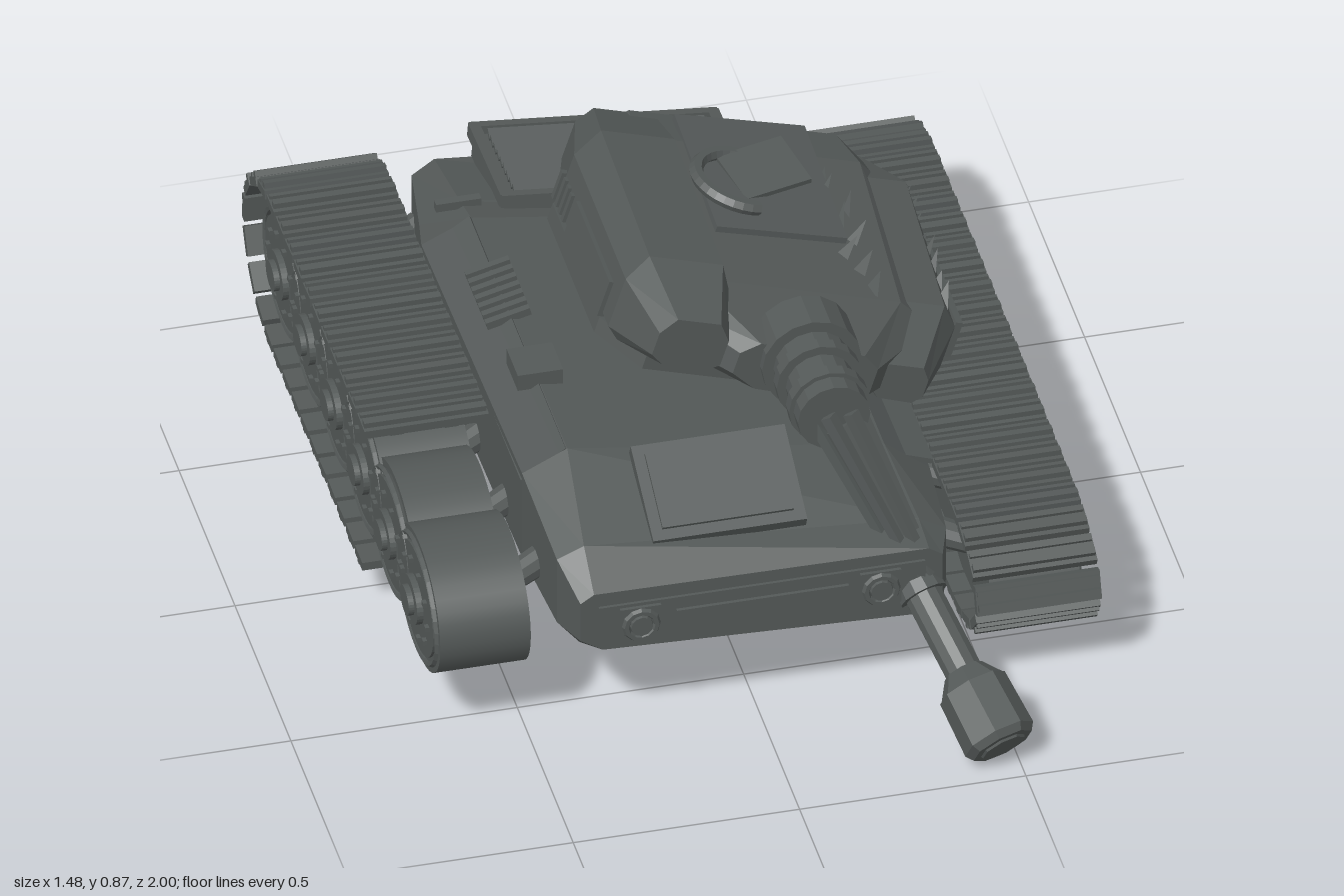
import * as THREE from 'three';
import { mergeGeometries } from 'three/addons/utils/BufferGeometryUtils.js';

const steel = new THREE.MeshStandardMaterial({ color: 0x545958, flatShading: true, side: THREE.DoubleSide });
steel.name = 'burnt steel';
const smoothSteel = new THREE.MeshStandardMaterial({ color: 0x545958 });
smoothSteel.name = 'round steel';

function add(parent, name, geo, pos = [0, 0, 0], rot = [0, 0, 0], mat = steel) {
  const m = new THREE.Mesh(geo, mat);
  m.name = name;
  m.position.set(...pos);
  m.rotation.set(...rot);
  parent.add(m);
  return m;
}
const box = (x, y, z) => new THREE.BoxGeometry(x, y, z);

// Skin over rings of [x, y, z], counter-clockwise from the front, ordered front to back
function loft(rings) {
  const p = [];
  const n = rings[0].length;
  const tri = (...c) => c.forEach(v => p.push(...v));
  for (let i = 0; i + 1 < rings.length; i++) {
    for (let j = 0; j < n; j++) {
      const k = (j + 1) % n, r = rings[i], s = rings[i + 1];
      tri(r[j], s[j], s[k]);
      tri(r[j], s[k], r[k]);
    }
  }
  const first = rings[0], last = rings[rings.length - 1];
  for (let j = 1; j + 1 < n; j++) {
    tri(first[0], first[j], first[j + 1]);
    tri(last[0], last[j + 1], last[j]);
  }
  const g = new THREE.BufferGeometry();
  g.setAttribute('position', new THREE.Float32BufferAttribute(p, 3));
  g.computeVertexNormals();
  return g;
}

// Eight-sided section: bottom, belt and top half widths with their heights; roll lowers the +x side
function section(z, wb, yb, wm, yl, yh, wt, yt, roll = 0, cx = 0) {
  return [[wb, yb], [wm, yl], [wm, yh], [wt, yt], [-wt, yt], [-wm, yh], [-wm, yl], [-wb, yb]]
    .map(([x, y], i) => [x + cx, y - x * (i > 1 && i < 6 ? roll : 0.04), z]);
}

// Cylinder between two points
function rod(parent, name, a, b, r0, r1, sides = 12, open = false) {
  const p = new THREE.Vector3(...a), q = new THREE.Vector3(...b);
  const m = add(parent, name, new THREE.CylinderGeometry(r1, r0, p.distanceTo(q), sides, 1, open), p.clone().lerp(q, 0.5).toArray());
  m.quaternion.setFromUnitVectors(new THREE.Vector3(0, 1, 0), q.sub(p).normalize());
  return m;
}

function buildHull() {
  const hull = new THREE.Group();
  hull.name = 'hull';
  add(hull, 'hullBody', loft([
    section(0.66, 0.35, 0.25, 0.40, 0.28, 0.39, 0.37, 0.41, 0.01),
    section(0.57, 0.38, 0.21, 0.43, 0.27, 0.42, 0.37, 0.45, 0.08),
    section(0.34, 0.39, 0.21, 0.45, 0.28, 0.45, 0.35, 0.515, 0.16),
    section(-0.52, 0.39, 0.21, 0.46, 0.28, 0.44, 0.35, 0.51, 0.16),
    section(-0.62, 0.38, 0.21, 0.44, 0.28, 0.43, 0.35, 0.49, 0.14),
    section(-0.85, 0.36, 0.22, 0.40, 0.28, 0.41, 0.35, 0.45, 0.1),
    section(-0.9, 0.33, 0.25, 0.38, 0.29, 0.39, 0.34, 0.42, 0.06),
  ]));
  // Front and rear bars with lamps
  for (const [z, s] of [[0.66, 1], [-0.9, -1]]) {
    add(hull, 'bumperPlate', box(0.38, 0.06, 0.03), [0, 0.32, z]);
    add(hull, 'bumperFrame', box(0.72, 0.1, 0.014), [0, 0.33, z]);
    for (const x of [-0.27, 0.26]) {
      add(hull, 'lampPlate', box(0.09, 0.085, 0.03), [x, 0.33, z]);
      add(hull, 'lampRing', new THREE.TorusGeometry(0.034, 0.009, 6, 12), [x, 0.33, z + s * 0.018]);
      add(hull, 'lamp', new THREE.CylinderGeometry(0.024, 0.03, 0.03, 12), [x, 0.33, z + s * 0.012], [s * Math.PI / 2, 0, 0]);
    }
  }
  // Sloped driver hatch
  const hatch = new THREE.Group();
  hatch.name = 'driverHatch';
  hatch.position.set(-0.05, 0.515, 0.475);
  hatch.rotation.x = 0.48;
  add(hatch, 'hatchPlate', box(0.34, 0.03, 0.23));
  add(hatch, 'hatchPanel', box(0.29, 0.01, 0.18), [0, 0.018, 0]);
  hull.add(hatch);
  // Engine grille
  const grille = new THREE.Group();
  grille.name = 'engineGrille';
  grille.position.set(0, 0.512, -0.71);
  grille.rotation.set(-0.06, 0, -0.1);
  add(grille, 'grilleBed', box(0.53, 0.06, 0.28), [0, -0.02, 0]);
  for (const s of [-1, 1]) {
    add(grille, 'grilleSide', box(0.025, 0.03, 0.29), [s * 0.265, 0.015, 0]);
    add(grille, 'grilleEnd', box(0.55, 0.03, 0.02), [0, 0.015, s * 0.14]);
  }
  for (let i = 0; i < 9; i++) add(grille, 'grilleSlat', box(0.48, 0.008, 0.026), [0, 0.02, -0.112 + i * 0.028], [0.5, 0, 0]);
  hull.add(grille);
  // Side deck strips and vents
  for (const s of [-1, 1]) {
    const y = s < 0 ? 0.545 : 0.425;
    add(hull, 'deckStrip', box(0.12, 0.012, 0.86), [s * 0.4, y - 0.012, -0.09], [0, 0, s < 0 ? 0.6 : -0.35]);
    for (let i = 0; i < 7; i++) add(hull, 'deckVent', box(0.1, 0.018, 0.016), [s * 0.36, y + 0.025, -0.33 + i * 0.03], [0, 0, s < 0 ? 0.25 : -0.2]);
    add(hull, 'deckHinge', box(0.1, 0.02, 0.02), [s * 0.36, y + 0.005, -0.6]);
  }
  add(hull, 'periscopeBlock', box(0.1, 0.04, 0.1), [-0.35, 0.58, 0.05]);
  return hull;
}

function buildTrack(side, cy, wheelRy, trackRy, cut) {
  const track = new THREE.Group();
  track.name = side > 0 ? 'leftTrack' : 'rightTrack';
  const rz = 0.19, front = 0.46, rear = -0.74;
  for (let i = 0; i < 6; i++) {
    const wheel = new THREE.Group();
    wheel.name = 'roadWheel';
    wheel.position.set(side * 0.607, cy, front - i * 0.24);
    wheel.scale.set(side, wheelRy / rz, 1);
    const disc = (name, r, w, x) => add(wheel, name, new THREE.CylinderGeometry(r, r, w, 32), [x, 0, 0], [0, 0, Math.PI / 2]);
    const tyre = new THREE.CylinderGeometry(rz, rz, 0.2 - (i % 2) * 0.012, 36);
    add(wheel, 'tyre', tyre, [0, 0, 0], [0, 0, Math.PI / 2], smoothSteel);
    disc('wheelDisc', 0.15, 0.012, 0.1);
    disc('hub', 0.065, 0.03, 0.105);
    disc('hubCap', 0.04, 0.045, 0.11);
    add(wheel, 'rim', new THREE.TorusGeometry(0.168, 0.008, 5, 32), [0.1, 0, 0], [0, Math.PI / 2, 0]);
    for (let b = 0; b < 10; b++) {
      const a = b * Math.PI / 5;
      add(wheel, 'bolt', box(0.014, 0.014, 0.014), [0.108, 0.11 * Math.sin(a), 0.11 * Math.cos(a)]);
    }
    track.add(wheel);
    rod(track, 'axleArm', [side * 0.4, cy + 0.035, front - i * 0.24 - 0.05], [side * 0.53, cy, front - i * 0.24], 0.035, 0.03, 10);
  }
  // Links follow a squashed loop; a cut leaves the front wheels bare
  const path = new THREE.Path();
  path.moveTo(rear, cy + trackRy);
  path.lineTo(front, cy + trackRy);
  path.absellipse(front, cy, 0.235, trackRy, Math.PI / 2, -Math.PI / 2, true);
  path.lineTo(rear, cy - trackRy);
  path.absellipse(rear, cy, 0.24, trackRy, -Math.PI / 2, -Math.PI * 1.5, true);
  const link = mergeGeometries([
    box(0.275, 0.02, 0.066),
    box(0.27, 0.018, 0.016).translate(0, 0.014, 0.014),
    box(0.27, 0.012, 0.01).translate(0, 0.012, -0.018),
    box(0.03, 0.022, 0.03).translate(0.06, -0.016, 0),
    box(0.03, 0.022, 0.03).translate(-0.06, -0.016, 0),
  ]);
  const count = 46;
  for (let i = 0; i < count; i++) {
    const p = path.getPointAt(i / count), t = path.getTangentAt(i / count);
    if (p.x > cut) continue;
    const wobble = 0.05 * Math.sin(i * 2.7);
    add(track, 'trackLink', link, [side * 0.602, p.y, p.x], [Math.atan2(-t.y, t.x) + wobble, 0, 0]);
  }
  return track;
}

function buildTurret() {
  const turret = new THREE.Group();
  turret.name = 'turret';
  turret.position.set(0.15, 0.51, 0);
  turret.rotation.z = -0.31;
  add(turret, 'turretBase', loft([[0.14, 0.3], [0.02, 0.38], [-0.4, 0.38], [-0.52, 0.28]].map(
    ([z, w]) => [[w, 0], [w, 0.04], [-w, 0.04], [-w, 0]].map(([x, y]) => [x, y, z]))));
  add(turret, 'turretBody', loft([
    section(0.28, 0.1, 0.07, 0.16, 0.1, 0.16, 0.12, 0.19),
    section(0.1, 0.26, 0.04, 0.33, 0.08, 0.17, 0.24, 0.22),
    section(-0.38, 0.3, 0.04, 0.35, 0.08, 0.19, 0.26, 0.25),
    section(-0.5, 0.26, 0.04, 0.3, 0.08, 0.18, 0.24, 0.235),
    section(-0.55, 0.2, 0.07, 0.25, 0.09, 0.15, 0.2, 0.19),
  ]));
  // Armoured cheeks, the +x one crumpled lower and shorter
  add(turret, 'rightCheek', loft([
    section(0.27, 0.05, 0.1, 0.08, 0.12, 0.18, 0.05, 0.22, 0, -0.27),
    section(0.12, 0.09, 0.05, 0.12, 0.08, 0.21, 0.085, 0.275, 0, -0.28),
    section(-0.34, 0.09, 0.05, 0.125, 0.08, 0.21, 0.085, 0.28, 0, -0.275),
    section(-0.5, 0.07, 0.06, 0.1, 0.09, 0.19, 0.07, 0.23, 0, -0.25),
  ]));
  add(turret, 'leftCheek', loft([
    section(0.24, 0.04, 0.06, 0.06, 0.08, 0.12, 0.04, 0.15, 0, 0.24),
    section(0.08, 0.09, 0.03, 0.11, 0.06, 0.16, 0.07, 0.21, 0, 0.28),
    section(-0.34, 0.09, 0.03, 0.12, 0.06, 0.17, 0.08, 0.24, 0, 0.28),
    section(-0.48, 0.06, 0.05, 0.09, 0.08, 0.15, 0.05, 0.2, 0, 0.25),
  ]));
  for (const s of [-1, 1]) {
    add(turret, 'cheekPlate', box(0.016, 0.09, 0.3), [s * 0.402, 0.12, -0.08]);
    for (let i = 0; i < 4; i++) add(turret, 'cheekVent', box(0.016, 0.07, 0.014), [s * 0.4, 0.12, -0.27 - i * 0.028]);
  }
  add(turret, 'roofPlate', box(0.3, 0.015, 0.4), [0.0, 0.25, -0.27], [0.03, 0, 0.03]);
  add(turret, 'hatchRing', new THREE.TorusGeometry(0.1, 0.016, 6, 18, Math.PI * 1.1), [-0.06, 0.265, -0.23], [Math.PI / 2, 0, 1.4]);
  add(turret, 'bentRoofPlate', box(0.16, 0.012, 0.14), [0.0, 0.275, -0.27], [0.1, 0.3, 0.25]);
  // Torn metal: rows of leaning shards
  let seed = 7;
  const rand = () => (seed = (seed * 16807) % 2147483647) / 2147483647;
  for (let i = 0; i < 16; i++) {
    const outer = i % 2;
    const h = 0.05 + rand() * 0.06;
    const shard = new THREE.ConeGeometry(0.03, h, 3).scale(0.25, 1, 1);
    add(turret, 'tornShard', shard, [outer ? 0.36 : 0.14 + rand() * 0.05, outer ? 0.2 : 0.24, 0.06 - i * 0.026],
      [rand() - 0.5, rand(), outer ? -0.2 : 0.3 - rand() * 0.7]);
  }
  return turret;
}

function buildGun() {
  const gun = new THREE.Group();
  gun.name = 'brokenGun';
  // Stepped mantlet sleeve
  const steps = [[0.2, 0.3, 0.11], [0.3, 0.34, 0.085], [0.34, 0.37, 0.095], [0.37, 0.43, 0.075], [0.43, 0.46, 0.09], [0.46, 0.5, 0.08]];
  for (const [a, b, r] of steps) rod(gun, 'mantletSleeve', [0.2, 0.67, a], [0.2, 0.67, b], r, r, 16);
  // Split barrel strips hanging from the sleeve
  for (let i = 0; i < 6; i++) {
    const a = i * Math.PI / 3, c = Math.cos(a), s = Math.sin(a);
    rod(gun, 'barrelStrip', [0.21 + 0.05 * c, 0.66 + 0.025 * s, 0.48 + 0.03 * s], [0.36 + 0.028 * c, 0.31 + 0.03 * s, 0.64 + 0.02 * s], 0.018, 0.013, 4);
  }
  rod(gun, 'barrelCore', [0.21, 0.64, 0.49], [0.36, 0.32, 0.63], 0.035, 0.025, 8);
  // Drooping barrel end and muzzle brake
  const start = new THREE.Vector3(0.345, 0.31, 0.62), end = new THREE.Vector3(0.46, 0.076, 0.955);
  const at = t => start.clone().lerp(end, t).toArray();
  rod(gun, 'barrelCollar', at(0), at(0.12), 0.05, 0.055);
  rod(gun, 'barrelEnd', at(0.1), at(0.62), 0.042, 0.042);
  rod(gun, 'brakeNeck', at(0.56), at(0.66), 0.045, 0.075, 8);
  rod(gun, 'muzzleBrake', at(0.66), at(0.96), 0.078, 0.082, 8);
  rod(gun, 'brakeLip', at(0.96), at(1), 0.082, 0.07, 8);
  rod(gun, 'brakeBore', at(0.99), at(1.012), 0.055, 0.05, 8);
  return gun;
}

export function createModel() {
  const model = new THREE.Group();
  model.name = 'wreckedTank';
  model.add(buildHull(), buildTurret(), buildGun());
  model.add(buildTrack(1, 0.25, 0.11, 0.113, 9));
  model.add(buildTrack(-1, 0.322, 0.148, 0.183, 0.11));
  return model;
}
